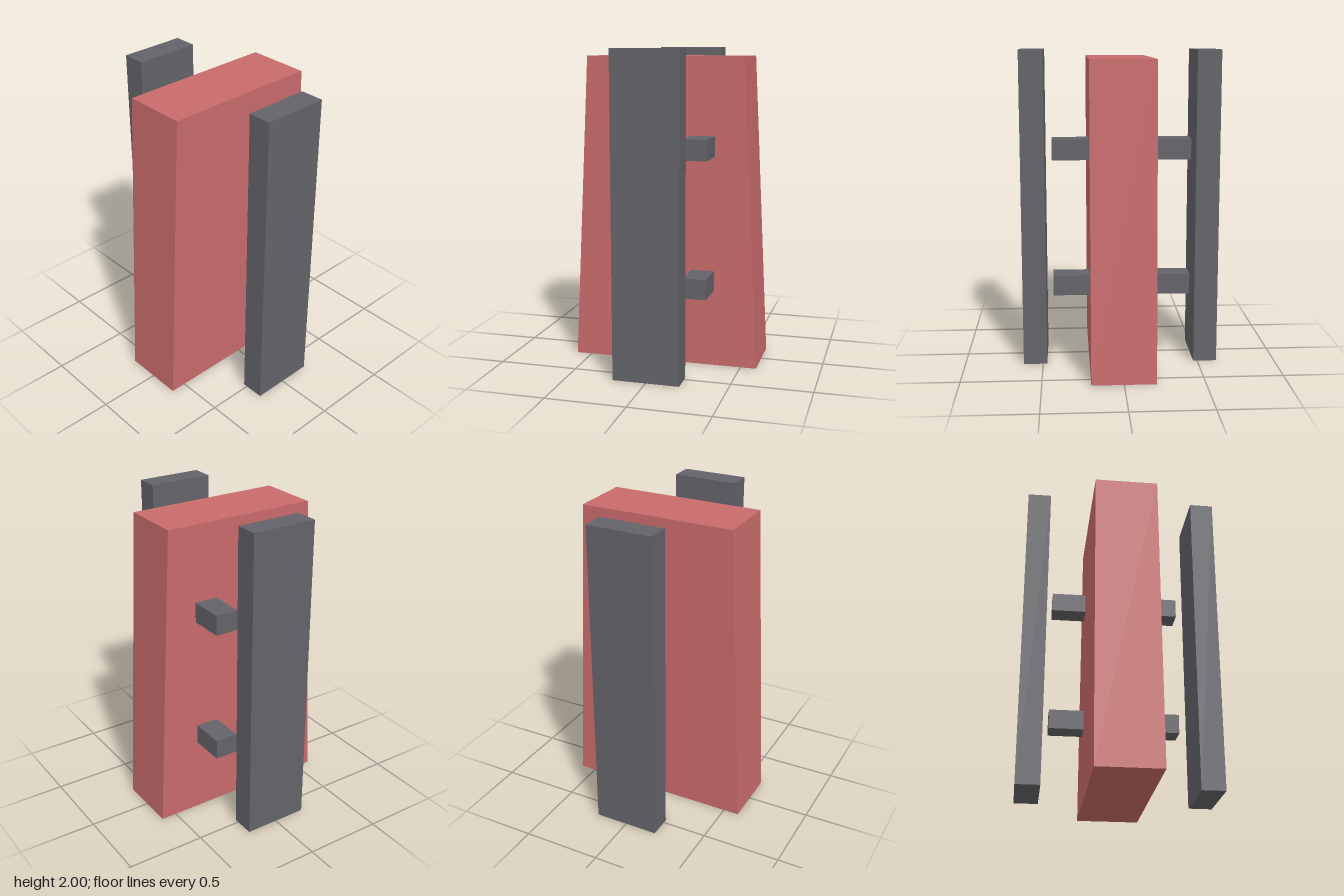
import * as THREE from 'three';

const red = new THREE.MeshStandardMaterial({ color: 0xc86a6a });
red.name = 'muted red';
const grey = new THREE.MeshStandardMaterial({ color: 0x646369 });
grey.name = 'dark grey';

function addBox(group, name, size, position) {
  const mesh = new THREE.Mesh(new THREE.BoxGeometry(...size), grey);
  mesh.name = name;
  mesh.position.set(...position);
  group.add(mesh);
}

export function createModel() {
  const model = new THREE.Group();
  model.name = 'taperedBlockWithRails';

  // Central block, tapering towards the top at front and back
  const height = 1.95;
  const blockGeometry = new THREE.BoxGeometry(0.4, height, 1.2);
  blockGeometry.translate(0, height / 2, 0);
  const p = blockGeometry.attributes.position;
  for (let i = 0; i < p.count; i++) {
    if (p.getY(i) > height / 2) p.setZ(i, Math.sign(p.getZ(i)) * 0.5);
  }
  blockGeometry.computeVertexNormals();
  const block = new THREE.Mesh(blockGeometry, red);
  block.name = 'taperedBlock';
  model.add(block);

  for (const [side, s] of [['left', 1], ['right', -1]]) {
    // Upright rail standing clear of the block
    addBox(model, side + 'Rail', [0.15, 2, 0.42], [s * 0.549, 1, 0]);
    // Two short pegs projecting from the block's side
    for (const [level, y] of [['Lower', 0.553], ['Upper', 1.402]]) {
      addBox(model, side + level + 'Peg', [0.235, 0.127, 0.147], [s * 0.3075, y, -0.251]);
    }
  }
  return model;
}
